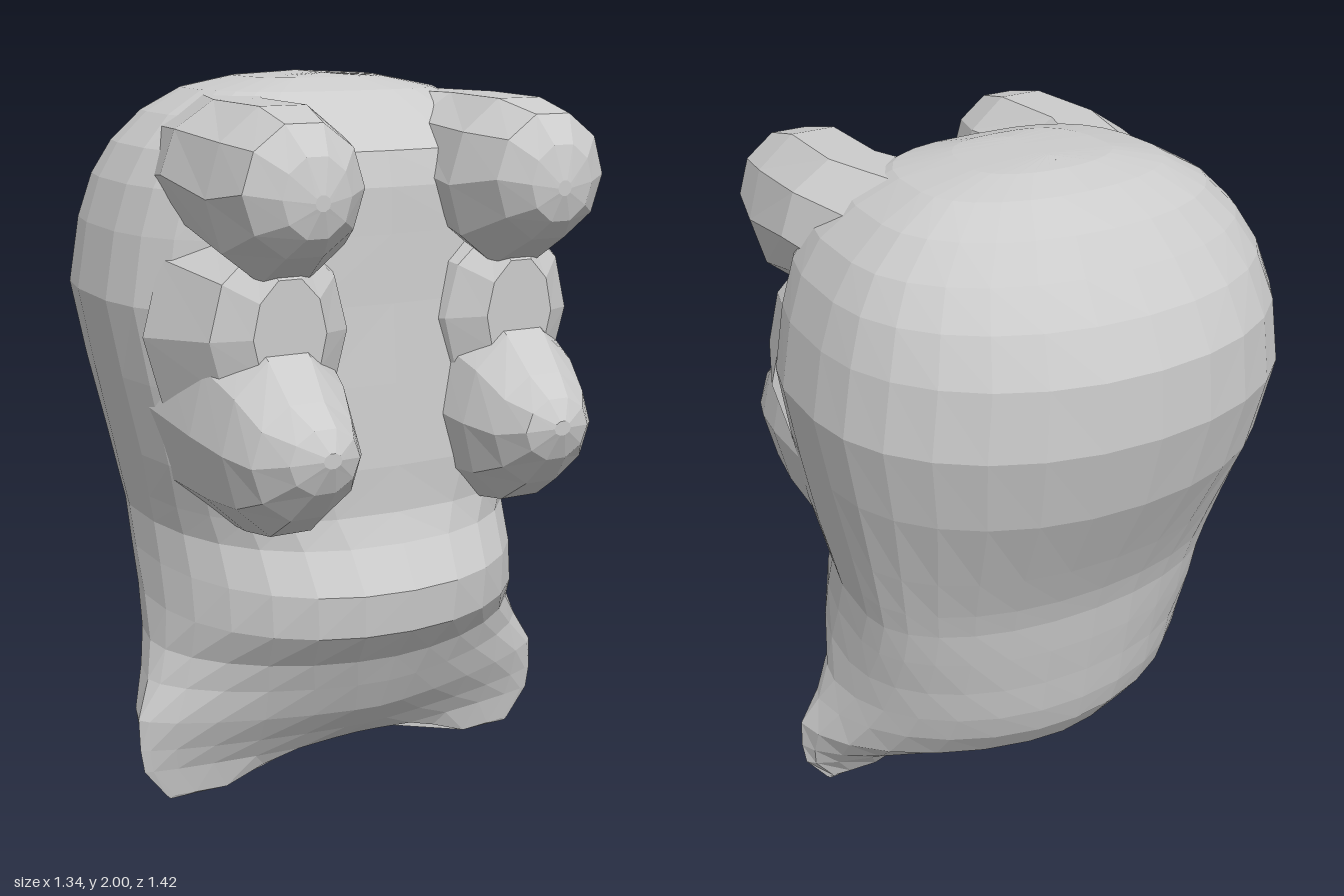
import * as THREE from 'three';

const { lerp, smoothstep } = THREE.MathUtils;

// Head sections from crown to jaw: height, half width, back z, front z
const HEAD_ROWS = [
  [2.0, 0, -0.2, -0.02], [1.99, 0.2, -0.28, 0.05], [1.96, 0.35, -0.38, 0.16], [1.9, 0.46, -0.49, 0.25],
  [1.82, 0.545, -0.565, 0.36], [1.73, 0.6, -0.64, 0.385], [1.61, 0.64, -0.7, 0.39], [1.43, 0.672, -0.712, 0.4],
  [1.22, 0.635, -0.66, 0.42], [1.0, 0.59, -0.55, 0.44], [0.87, 0.565, -0.49, 0.44], [0.79, 0.55, -0.465, 0.47],
  [0.68, 0.55, -0.45, 0.54], [0.56, 0.555, -0.43, 0.53], [0.45, 0.57, -0.415, 0.44], [0.36, 0.6, -0.39, 0.4],
  [0.26, 0.645, -0.32, 0.35], [0.17, 0.645, -0.18, 0.27], [0.1, 0.635, -0.03, 0.21],
  [0.01, 0.57, 0.1, 0.18], [0, 0.56, 0.14, 0.14],
];
const HEAD_SIDES = 28;

// Left-hand face bumps, from the buried root to the tip: z, centre x, centre y, radius x, radius y
const BUMPS = {
  Brow: [
    [-0.08, 0.26, 1.74, 0.25, 0.22], [0.2, 0.345, 1.77, 0.215, 0.19], [0.45, 0.335, 1.735, 0.205, 0.225],
    [0.59, 0.345, 1.76, 0.16, 0.165], [0.65, 0.34, 1.75, 0.09, 0.1], [0.67, 0.335, 1.74, 0.02, 0.02],
  ],
  Eye: [
    [0.2, 0.34, 1.36, 0.28, 0.34], [0.42, 0.335, 1.38, 0.19, 0.24], [0.485, 0.335, 1.39, 0.1, 0.15],
  ],
  Cheek: [
    [0.1, 0.35, 1.16, 0.24, 0.34], [0.36, 0.345, 1.13, 0.215, 0.29], [0.5, 0.345, 1.11, 0.185, 0.24],
    [0.6, 0.345, 1.1, 0.15, 0.155], [0.68, 0.335, 1.12, 0.095, 0.085], [0.712, 0.33, 1.13, 0.025, 0.02],
  ],
};
const BUMP_SIDES = 10;

// Joins rings of points with faces and closes both ends with a fan
function loft(rings) {
  const n = rings[0].length;
  const indices = [];
  for (let r = 0; r < rings.length - 1; r++) {
    for (let c = 0; c < n; c++) {
      const next = (c + 1) % n;
      const a = r * n + c, b = a + n, d = r * n + next, e = d + n;
      if (c < n / 2) indices.push(a, b, d, b, e, d);
      else indices.push(a, b, e, a, e, d);
    }
  }
  const end = (rings.length - 1) * n;
  for (let c = 1; c < n - 1; c++) indices.push(0, c, c + 1, end, end + c + 1, end + c);
  const indexed = new THREE.BufferGeometry();
  indexed.setAttribute('position', new THREE.Float32BufferAttribute(rings.flat(2), 3));
  indexed.setIndex(indices);
  const geometry = indexed.toNonIndexed();
  geometry.computeVertexNormals();
  return geometry;
}

// Boxy skull section that rounds off at the mouth and becomes a pointed wedge at the jaw
function headRing([y, width, back, front]) {
  const middle = lerp(0.14, -0.17, smoothstep(y, 0.2, 0.85));
  const facePower = lerp(lerp(1.35, 2.2, smoothstep(y, 0.2, 0.65)), 2.9, smoothstep(y, 0.72, 1));
  const backPower = lerp(1.5, 2.1, smoothstep(y, 0.1, 0.5));
  const ring = [];
  for (let i = 0; i < HEAD_SIDES; i++) {
    const angle = -Math.PI + (2 * Math.PI * i) / HEAD_SIDES;
    const facing = Math.cos(angle);
    const power = facing > 0 ? facePower : backPower;
    const x = width * Math.sign(Math.sin(angle)) * Math.abs(Math.sin(angle)) ** (2 / power);
    const depth = (facing > 0 ? front : back) - middle;
    const z = middle + depth * Math.abs(facing) ** (2 / power);
    // Arched lower edge between the jaw corners
    ring.push([x, Math.max(y, 0.115 - 0.72 * x * x), z]);
  }
  return ring;
}

// Elliptical section of a bump that points forward
function bumpRing([z, cx, cy, rx, ry], side) {
  const ring = [];
  for (let i = 0; i < BUMP_SIDES; i++) {
    const angle = (-2 * Math.PI * (i + 0.5)) / BUMP_SIDES;
    ring.push([side * cx + rx * Math.sin(angle), cy + ry * Math.cos(angle), z]);
  }
  return ring;
}

export function createModel() {
  const group = new THREE.Group();
  group.name = 'head';
  const material = new THREE.MeshStandardMaterial({ color: 0xcccccc, flatShading: true });
  const add = (name, rings) => {
    const mesh = new THREE.Mesh(loft(rings), material);
    mesh.name = name;
    group.add(mesh);
  };

  add('skullAndJaw', HEAD_ROWS.map(headRing));
  for (const [part, sections] of Object.entries(BUMPS)) {
    for (const [label, side] of [['left', 1], ['right', -1]]) {
      // Tip first, so that the faces point outwards
      add(label + part, sections.map((section) => bumpRing(section, side)).reverse());
    }
  }
  return group;
}
